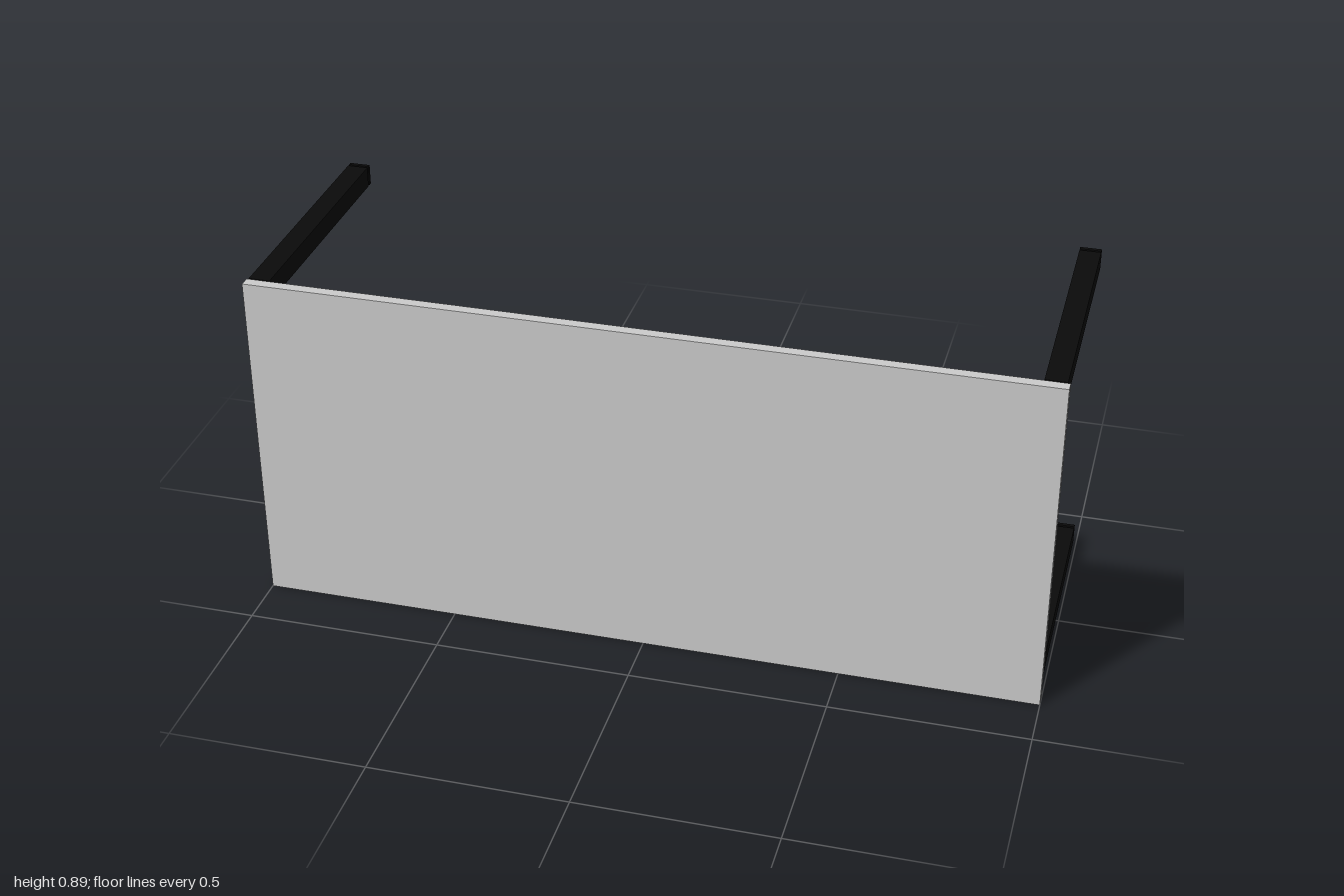
import * as THREE from 'three';

const TUBE = 0.054;            // square tube width
const LOW = 0.008, HIGH = 0.883; // frame extent in y
const FRONT = 0.322, LEG_END = -0.343;

export function createModel() {
  const model = new THREE.Group();
  model.name = 'table';
  const grey = new THREE.MeshStandardMaterial({ color: 0xcccccc });
  const black = new THREE.MeshStandardMaterial({ color: 0x0b0b0b });

  // box given by its min and max corners
  function box(name, material, [x0, y0, z0], [x1, y1, z1], parent = model) {
    const mesh = new THREE.Mesh(new THREE.BoxGeometry(x1 - x0, y1 - y0, z1 - z0), material);
    mesh.position.set((x0 + x1) / 2, (y0 + y1) / 2, (z0 + z1) / 2);
    mesh.name = name;
    parent.add(mesh);
  }

  // table top, standing on its long edge
  box('tableTop', grey, [-1, 0, 0.334], [1, 0.888, 0.362]);

  // U-shaped leg outline, drawn with -z as the shape's x
  const outline = new THREE.Shape([
    [-FRONT, LOW], [-LEG_END, LOW], [-LEG_END, LOW + TUBE],
    [-FRONT + TUBE, LOW + TUBE], [-FRONT + TUBE, HIGH - TUBE],
    [-LEG_END, HIGH - TUBE], [-LEG_END, HIGH], [-FRONT, HIGH],
  ].map(([x, y]) => new THREE.Vector2(x, y)));
  const frameGeometry = new THREE.ExtrudeGeometry(outline, { depth: TUBE, bevelEnabled: false });
  frameGeometry.rotateY(Math.PI / 2);

  for (const [side, x] of [['right', -1], ['left', 0.939]]) {
    const legs = new THREE.Group();
    legs.name = side + 'Legs';
    model.add(legs);
    const frame = new THREE.Mesh(frameGeometry, black);
    frame.name = side + 'LegFrame';
    frame.position.x = x;
    legs.add(frame);

    // levelling feet: narrow neck and end pad on each leg
    for (const y of [LOW, HIGH - TUBE]) {
      const inset = 0.005;
      box('footNeck', black, [x + inset, y + inset, -0.351],
        [x + TUBE - inset, y + TUBE - inset, LEG_END], legs);
      box('footPad', black, [x, y, -0.36], [x + TUBE, y + TUBE, -0.35], legs);
    }
  }

  // two long rails under the top
  for (const y of [0.194, 0.697]) {
    box('rail', black, [-0.946, y - 0.026, 0.28], [0.94, y + 0.026, 0.334]);
  }
  return model;
}
